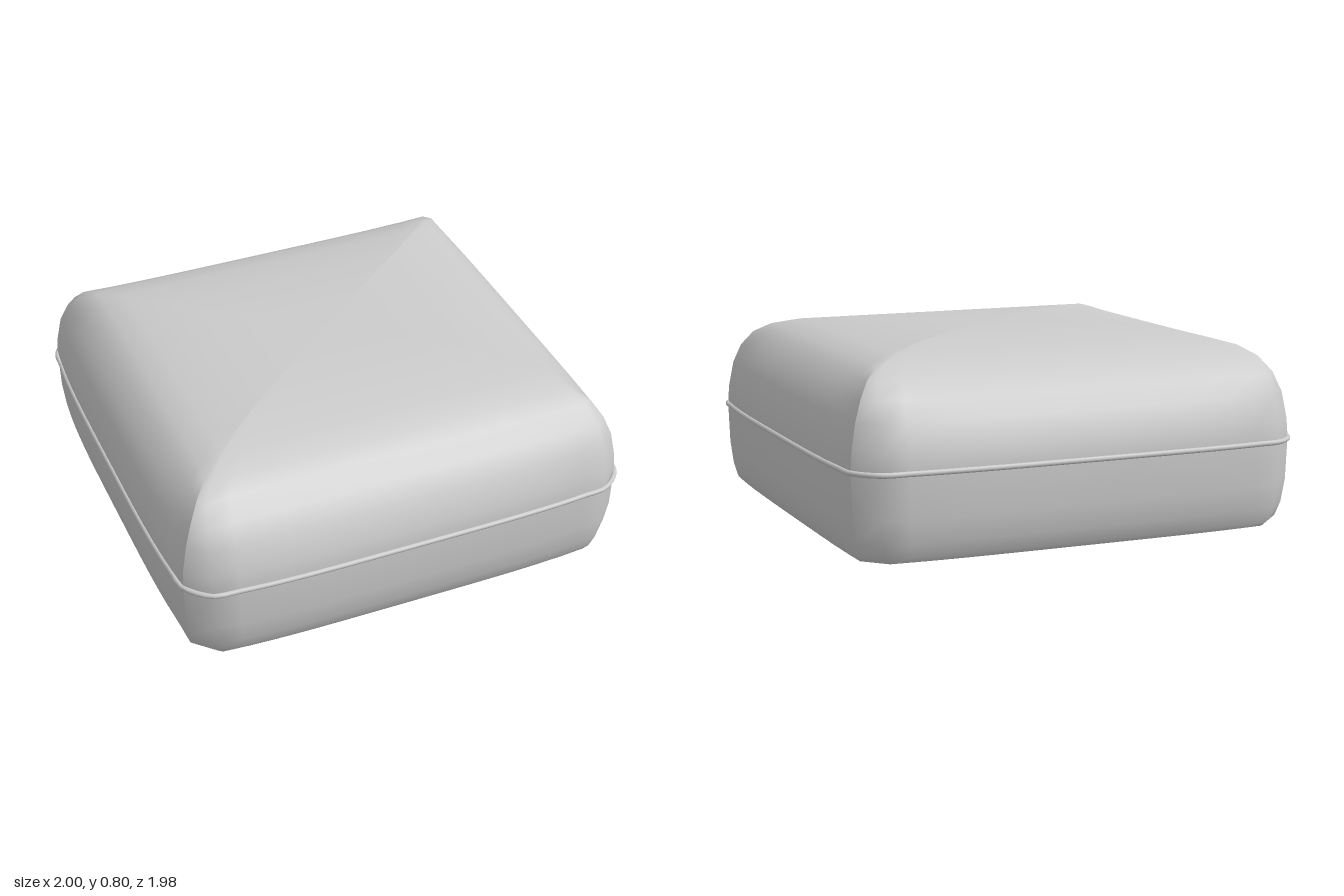
import * as THREE from 'three';

const N = 16; // segments along each side panel

// Rows from floor to crown:
// [side bulge x, side bulge z, corner x, corner z, corner cut, height]
const rows = [
  [0.92, 0.92, 0.91, 0.81, 0.09, 0],
  [0.94, 0.935, 0.93, 0.82, 0.09, 0.02],
  [0.97, 0.96, 0.945, 0.84, 0.09, 0.08],
  [0.985, 0.977, 0.955, 0.855, 0.09, 0.18],
  [0.989, 0.98, 0.96, 0.86, 0.09, 0.36],
  [0.982, 0.97, 0.955, 0.855, 0.088, 0.44],
  [0.96, 0.93, 0.935, 0.845, 0.075, 0.55],
  [0.915, 0.865, 0.905, 0.82, 0.05, 0.63],
  [0.845, 0.785, 0.86, 0.77, 0.03, 0.695],
  [0.785, 0.715, 0.80, 0.70, 0.02, 0.735],
  [0.69, 0.61, 0.70, 0.60, 0.01, 0.763],
  [0.5, 0.42, 0.5, 0.42, 0, 0.788],
  [0.25, 0.21, 0.25, 0.21, 0, 0.798],
  [0, 0, 0, 0, 0, 0.8],
];
const FIRST_SMOOTH_ROW = 9; // corner seams fade out above this row

// Four panels of one row, meeting at the corner seams
function panels([a, b, cx, cz, c, y]) {
  const side = [], end = [new THREE.Vector3(cx, y, -cz)];
  for (let i = 0; i <= N; i++) {
    const t = 1 - (2 * i) / N, bulge = 1 - t ** 4;
    side.push(new THREE.Vector3(cx + (a - cx) * bulge, y, cz * t));
    end.push(new THREE.Vector3((cx - c) * t, y, -(cz + c + (b - cz - c) * bulge)));
  }
  end.push(new THREE.Vector3(-cx, y, -cz));
  const turn = (list) => list.map((p) => new THREE.Vector3(-p.x, p.y, -p.z));
  return [side, end, turn(side), turn(end)];
}

// Closed outline of a row without the doubled seam points
const outline = (row) => panels(row).flatMap((p) => p.slice(0, -1));

function cushionGeometry() {
  const positions = [], index = [], seams = [];
  const lengths = panels(rows[0]).map((p) => p.length);
  const count = lengths.reduce((s, n) => s + n, 0);
  rows.forEach((row, r) => {
    panels(row).flat().forEach((p) => positions.push(p.x, p.y, p.z));
    let start = 0;
    for (const n of lengths) {
      if (r < rows.length - 1) {
        for (let i = start; i < start + n - 1; i++) {
          const k = r * count + i, up = k + count;
          index.push(k, k + 1, up + 1, k, up + 1, up);
        }
      }
      start += n;
      if (r >= FIRST_SMOOTH_ROW) seams.push([r * count + start - 1, r * count + (start % count)]);
    }
  });
  const g = new THREE.BufferGeometry();
  g.setAttribute('position', new THREE.Float32BufferAttribute(positions, 3));
  g.setIndex(index);
  g.computeVertexNormals();

  // Blend the panels across the seams on the top
  const normal = g.attributes.normal;
  for (const [i, j] of seams) {
    const n = new THREE.Vector3().fromBufferAttribute(normal, i)
      .add(new THREE.Vector3().fromBufferAttribute(normal, j)).normalize();
    normal.setXYZ(i, n.x, n.y, n.z);
    normal.setXYZ(j, n.x, n.y, n.z);
  }
  // Crown points straight up
  for (let i = 0; i < count; i++) normal.setXYZ((rows.length - 1) * count + i, 0, 1, 0);
  return g;
}

export function createModel() {
  const group = new THREE.Group();
  group.name = 'pouffe';
  const material = new THREE.MeshStandardMaterial({ color: 0xcccccc });
  const add = (name, geometry) => {
    const mesh = new THREE.Mesh(geometry, material);
    mesh.name = name;
    group.add(mesh);
  };

  // Padded body with seamed corners
  add('cushion', cushionGeometry());

  // Flat underside
  const shape = new THREE.Shape(outline(rows[0]).map((p) => new THREE.Vector2(p.x, p.z)));
  add('base', new THREE.ShapeGeometry(shape).rotateX(Math.PI / 2));

  // Piping around the middle
  const path = new THREE.CatmullRomCurve3(outline(rows[4]), true);
  add('piping', new THREE.TubeGeometry(path, 200, 0.011, 8, true));

  return group;
}
